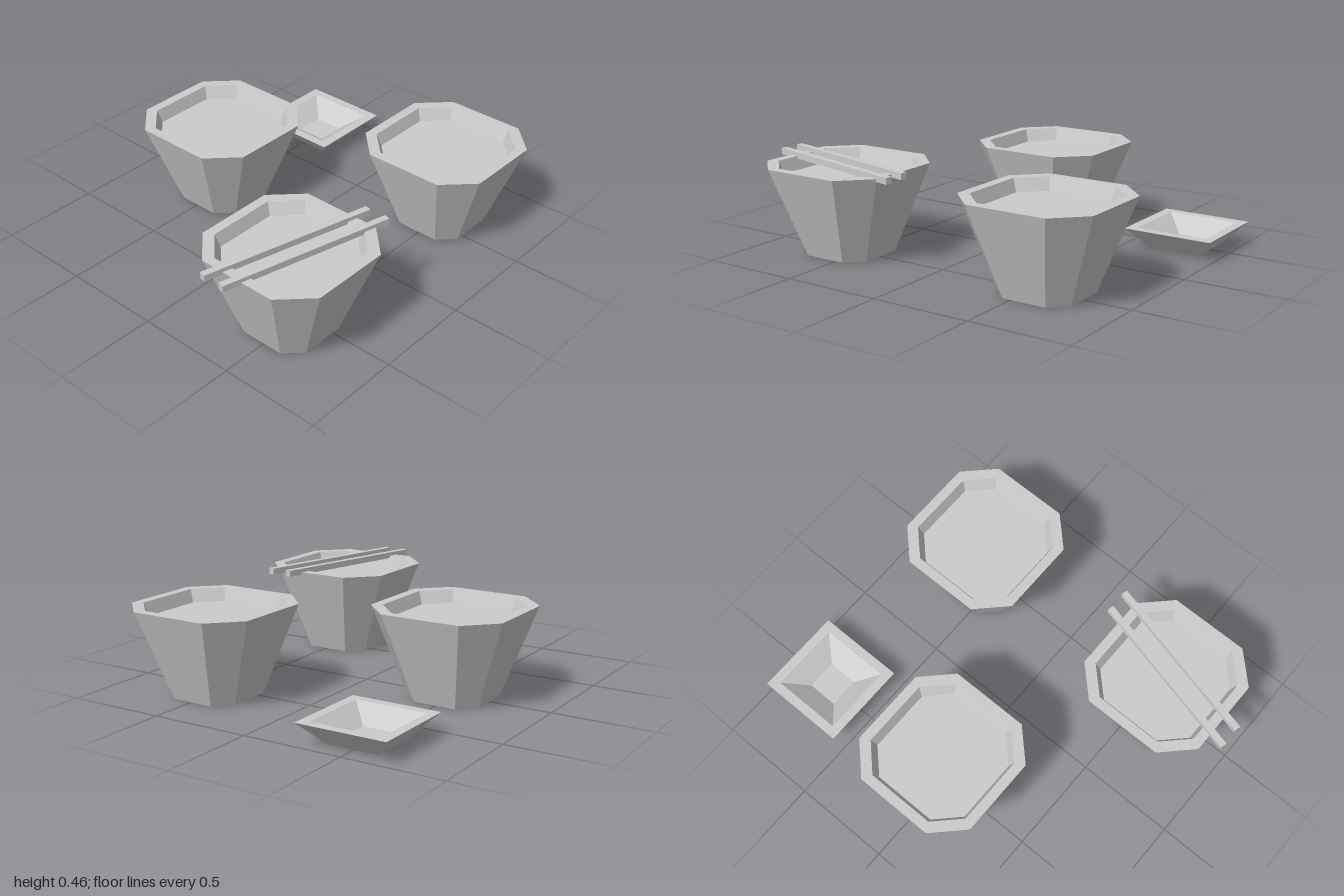
import * as THREE from 'three';

// Cross-sections as [x, z] loops: an octagon with cut corners, and a square
const octagon = (h, f) => [[h, -f], [h, f], [f, h], [-f, h], [-h, f], [-h, -f], [-f, -h], [f, -h]];
const square = (h) => [[h, -h], [h, h], [-h, h], [-h, -h]];

// Joins a chain of rings { y, loop } with flat faces, with optional end caps
function loft(rings, capStart, capEnd) {
  const pos = [];
  const put = (ring, i) => {
    const [x, z] = ring.loop[i % ring.loop.length];
    pos.push(x, ring.y, z);
  };
  for (let r = 0; r < rings.length - 1; r++) {
    const a = rings[r], b = rings[r + 1];
    for (let i = 0; i < a.loop.length; i++) {
      put(a, i); put(b, i); put(b, i + 1);
      put(a, i); put(b, i + 1); put(a, i + 1);
    }
  }
  const first = rings[0], last = rings[rings.length - 1];
  for (let i = 1; i < first.loop.length - 1; i++) {
    if (capStart) { put(first, 0); put(first, i); put(first, i + 1); }
    if (capEnd) { put(last, 0); put(last, i + 1); put(last, i); }
  }
  const geo = new THREE.BufferGeometry();
  geo.setAttribute('position', new THREE.Float32BufferAttribute(pos, 3));
  geo.computeVertexNormals();
  return geo;
}

export function createModel() {
  const model = new THREE.Group();
  model.name = 'tableware';
  const grey = new THREE.MeshStandardMaterial({ color: 0xcccccc });
  grey.name = 'light grey';

  const add = (parent, name, geo) => {
    const mesh = new THREE.Mesh(geo, grey);
    mesh.name = name;
    parent.add(mesh);
    return mesh;
  };

  // Three filled octagonal bowls
  const soupRing = { y: 0.38, loop: octagon(0.272, 0.16) };
  const shell = loft([
    { y: 0, loop: octagon(0.19, 0.11) },
    { y: 0.443, loop: octagon(0.343, 0.2) },
    { y: 0.443, loop: octagon(0.295, 0.173) },
    soupRing,
  ], true, false);
  const soup = loft([soupRing], false, true);
  const spots = { leftBowl: [0.57, 0.49], rightBowl: [-0.57, 0.49], backBowl: [0, -0.492] };
  for (const [name, [x, z]] of Object.entries(spots)) {
    const bowl = new THREE.Group();
    bowl.name = name;
    bowl.position.set(x, 0, z);
    add(bowl, 'bowlShell', shell);
    add(bowl, 'soup', soup);
    model.add(bowl);
  }

  // Small square sauce dish
  const dish = add(model, 'sauceDish', loft([
    { y: 0, loop: square(0.127) },
    { y: 0.107, loop: square(0.228) },
    { y: 0.107, loop: square(0.181) },
    { y: 0.03, loop: square(0.077) },
  ], true, true));
  dish.position.set(0.77, 0, -0.495);

  // Pair of chopsticks resting on the right bowl
  const stick = new THREE.BoxGeometry(0.87, 0.032, 0.032);
  for (const z of [0.48, 0.588]) {
    const chopstick = add(model, 'chopstick', stick);
    chopstick.position.set(-0.574, 0.446, z);
    chopstick.rotation.y = -0.245;
  }
  return model;
}
